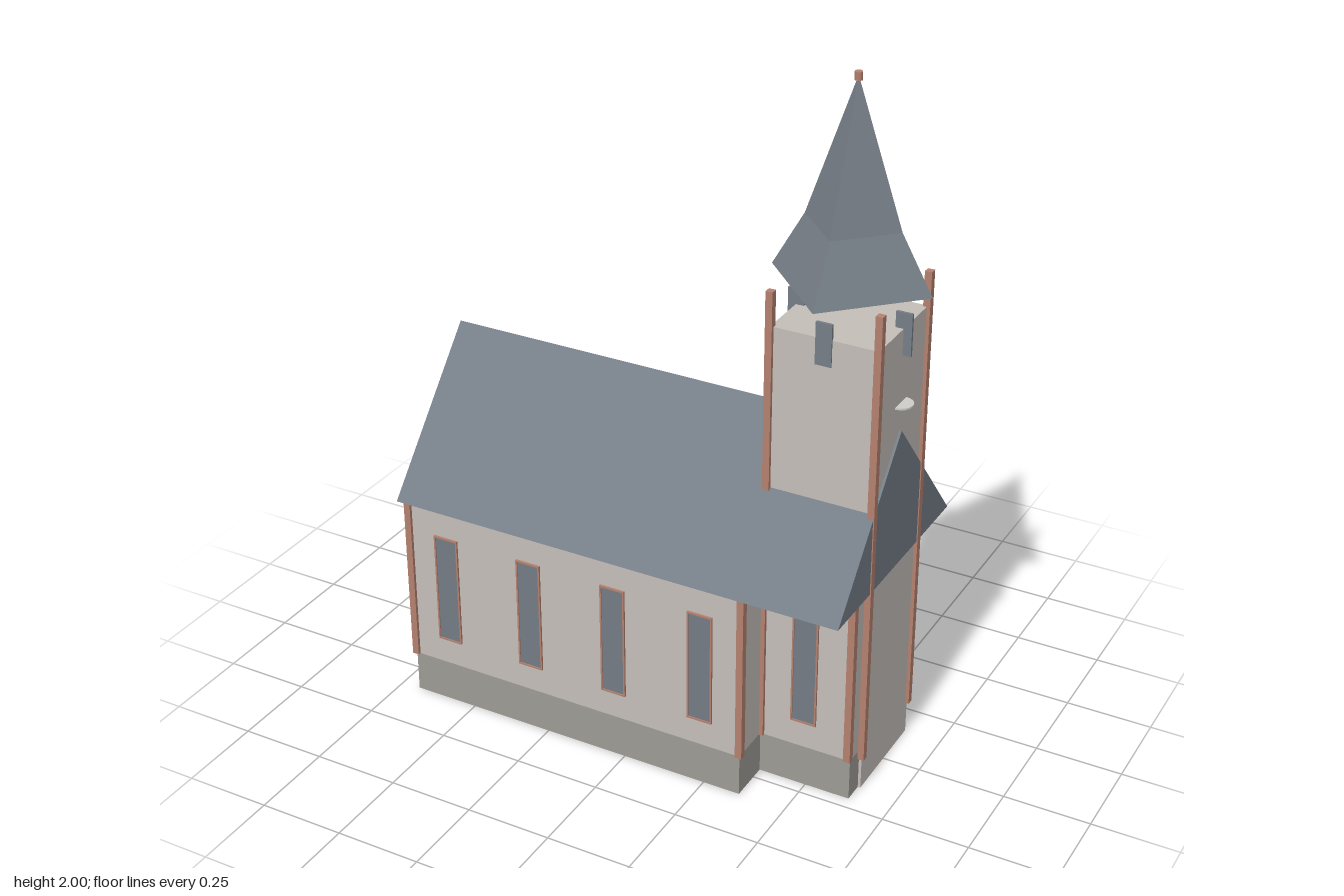
import * as THREE from 'three';

const mat = (name, color) => Object.assign(new THREE.MeshStandardMaterial({ color }), { name });

export function createModel() {
  const wall = mat('plaster', 0xc4beb9);
  const plinth = mat('plinth stone', 0x9d9b95);
  const slate = mat('slate', 0x767e87);
  const glass = mat('window glass', 0x737b84);
  const trim = mat('red trim', 0xb5816f);
  const pale = mat('dial', 0xcfcdc8);

  const model = new THREE.Group();
  model.name = 'church';

  const add = (name, geo, material, x = 0, y = 0, z = 0, parent = model) => {
    const m = new THREE.Mesh(geo, material);
    m.name = name;
    m.position.set(x, y, z);
    parent.add(m);
    return m;
  };
  // Box given by its limits
  const block = (name, material, x0, x1, y0, y1, z0, z1) =>
    add(name, new THREE.BoxGeometry(x1 - x0, y1 - y0, z1 - z0), material,
      (x0 + x1) / 2, (y0 + y1) / 2, (z0 + z1) / 2);
  const flat = (geo) => {
    const g = geo.toNonIndexed();
    g.computeVertexNormals();
    return g;
  };

  const BASE = 0.125, EAVE = 0.635;

  // Nave, entrance bay and side chapel, each as a footprint standing on a plinth
  const rooms = [
    ['nave', -0.693, 0.36, -0.155, 0.337],
    ['entranceBay', 0.36, 0.632, -0.15, 0.212],
    ['sideChapel', 0.182, 0.534, -0.337, -0.155],
  ];
  for (const [name, x0, x1, z0, z1] of rooms) {
    block(name + 'Plinth', plinth, x0, x1, 0, BASE, z0, z1);
    block(name + 'Walls', wall, x0, x1, BASE, EAVE, z0, z1);
  }

  // Main gable roof: a closed prism along x
  const gable = new THREE.Shape([
    new THREE.Vector2(-0.357, EAVE),
    new THREE.Vector2(0.357, EAVE),
    new THREE.Vector2(0, 1.046),
  ]);
  const roofGeo = new THREE.ExtrudeGeometry(gable, { depth: 1.364, bevelEnabled: false });
  roofGeo.rotateY(Math.PI / 2);
  add('mainRoof', roofGeo, slate, -0.717);

  // Corner posts of the rooms
  const post = (name, x, z, y0, y1) =>
    block(name, trim, x - 0.01, x + 0.01, y0, y1, z - 0.01, z + 0.01);
  const corners = [
    [-0.692, 0.336], [-0.692, -0.154], [0.36, 0.336], [0.362, 0.212],
    [0.625, 0.212], [0.534, -0.336], [0.182, -0.336],
  ];
  for (const [x, z] of corners) post('cornerPost', x, z, BASE, EAVE);

  // Tall windows: thin pane inside a thin frame, turned to face outwards
  const frameShape = new THREE.Shape([[-1, -1], [1, -1], [1, 1], [-1, 1]]
    .map(([x, y]) => new THREE.Vector2(x * 0.038, y * 0.171)));
  frameShape.holes.push(new THREE.Path([[-1, -1], [-1, 1], [1, 1], [1, -1]]
    .map(([x, y]) => new THREE.Vector2(x * 0.033, y * 0.166))));
  const frameGeo = new THREE.ExtrudeGeometry(frameShape, { depth: 0.006, bevelEnabled: false });
  const paneGeo = new THREE.BoxGeometry(0.068, 0.334, 0.006);
  const tallWindow = (x, z, turn) => {
    const g = new THREE.Group();
    g.name = 'tallWindow';
    add('windowFrame', frameGeo, trim, 0, 0, 0, g);
    add('windowPane', paneGeo, glass, 0, 0, 0, g);
    g.position.set(x, 0.376, z);
    g.rotation.y = turn;
    model.add(g);
  };
  for (const x of [-0.57, -0.3, -0.032, 0.237]) tallWindow(x, 0.337, 0);
  tallWindow(0.49, 0.212, 0);
  for (const x of [-0.56, -0.355, -0.148, 0.06]) tallWindow(x, -0.155, Math.PI);
  tallWindow(0.358, -0.337, Math.PI);
  for (const z of [-0.03, 0.212]) tallWindow(-0.693, z, -Math.PI / 2);

  // Tower with its four posts
  const TX = 0.488, HALF = 0.152;
  block('towerWalls', wall, TX - HALF, TX + HALF, 0, 1.34, -HALF, HALF);
  for (const z of [-HALF, HALF]) {
    post('towerPost', TX - HALF, z, 0.865, 1.44);
    post('towerPost', TX + HALF, z, 0.1, 1.44);
  }

  // Belfry shutters and dials
  for (const s of [-1, 1]) {
    add('belfryShutter', new THREE.BoxGeometry(0.046, 0.12, 0.008), slate, TX, 1.325, s * HALF);
    add('belfryShutter', new THREE.BoxGeometry(0.046, 0.12, 0.008), slate, TX + s * HALF, 1.325, 0);
    add('dial', new THREE.CylinderGeometry(0.035, 0.035, 0.005, 16), pale, TX + s * HALF, 1.125, 0);
  }

  // Spire: flared skirt, steep upper part and finial
  add('spireSkirt', flat(new THREE.CylinderGeometry(0.135, 0.225, 0.16, 4)), slate, TX, 1.52, 0);
  add('spireTop', flat(new THREE.CylinderGeometry(0.002, 0.135, 0.385, 4)), slate, TX, 1.7925, 0);
  add('finial', new THREE.CylinderGeometry(0.011, 0.011, 0.022, 8), trim, TX, 1.989, 0);

  return model;
}
